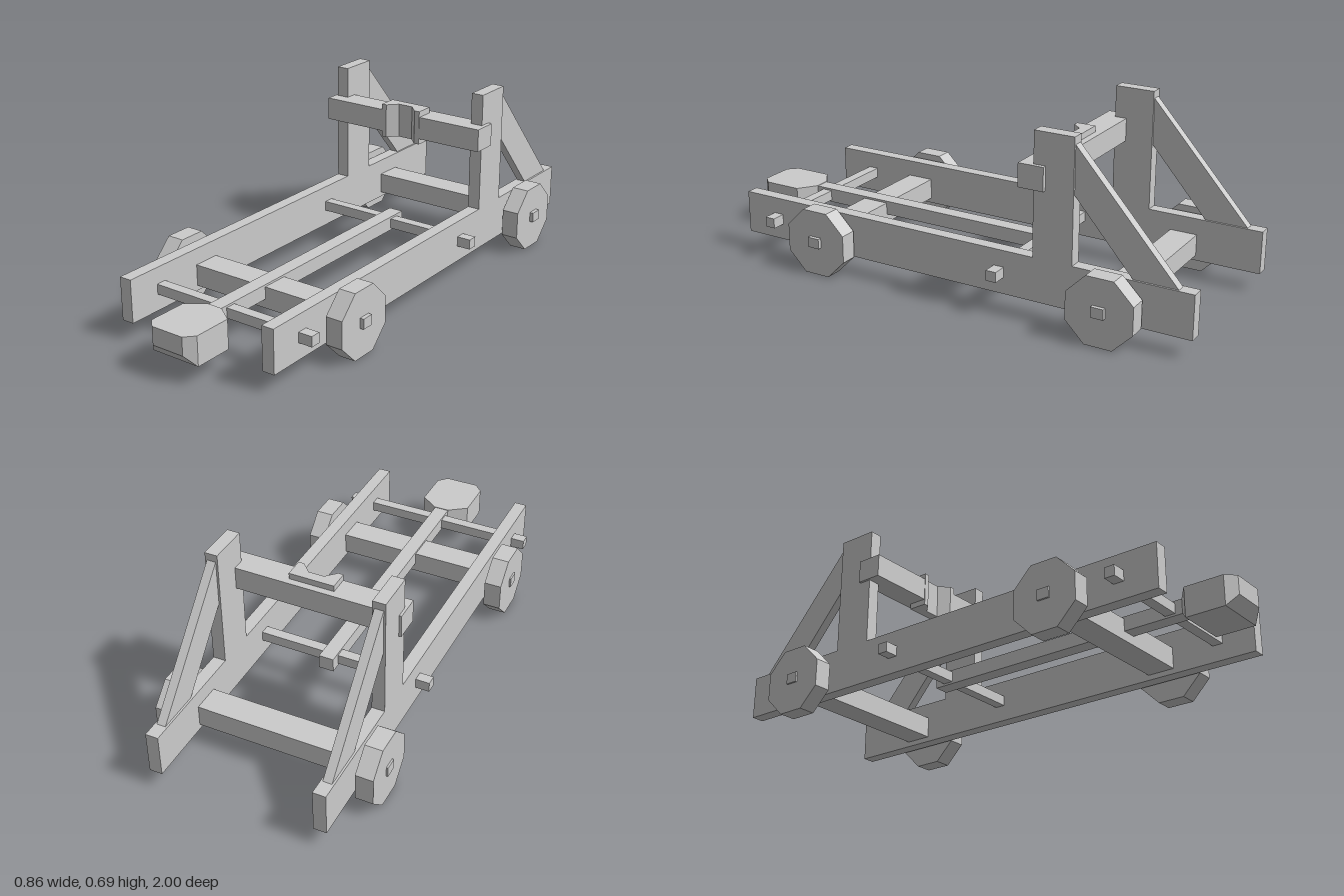
import * as THREE from 'three';
import { ConvexGeometry } from 'three/addons/geometries/ConvexGeometry.js';

const material = new THREE.MeshStandardMaterial({ color: 0xcccccc, flatShading: true });

export function createModel() {
  const model = new THREE.Group();
  model.name = 'catapult';

  const add = (name, geometry) => {
    const mesh = new THREE.Mesh(geometry, material);
    mesh.name = name;
    model.add(mesh);
    return mesh;
  };
  // Box given by its extents on each axis
  const box = (name, x0, x1, y0, y1, z0, z1) =>
    add(name, new THREE.BoxGeometry(x1 - x0, y1 - y0, z1 - z0))
      .position.set((x0 + x1) / 2, (y0 + y1) / 2, (z0 + z1) / 2);
  const extrude = (points, depth) => new THREE.ExtrudeGeometry(
    new THREE.Shape(points.map(([a, b]) => new THREE.Vector2(a, b))),
    { depth, bevelEnabled: false });
  // Side profile of [z, y] points, extruded across x
  const sidePlate = (name, points, x, width) =>
    add(name, extrude(points, width).rotateY(-Math.PI / 2).translate(x + width / 2, 0, 0));
  // Plan profile of [x, z] points, extruded up from y0 to y1
  const planBlock = (name, points, y0, y1) =>
    add(name, extrude(points, y1 - y0).rotateX(Math.PI / 2).translate(0, y1, 0));

  // Rail and upright in one piece, with a diagonal brace behind
  const frame = [[-1, 0.07], [0.865, 0.07], [0.865, 0.235], [-0.4, 0.235], [-0.4, 0.695],
    [-0.553, 0.695], [-0.553, 0.235], [-1, 0.235]];
  const brace = [[-0.945, 0.23], [-0.78, 0.23], [-0.55, 0.492], [-0.55, 0.67]];
  const wheelY = 0.127;
  const axleZ = [0.479, -0.696];

  for (const [side, s] of [['left', 1], ['right', -1]]) {
    const x = s * 0.314 - 0.003;
    sidePlate(side + 'Frame', frame, x, 0.049);
    sidePlate(side + 'Brace', brace, x, 0.034);
    // Octagonal wheels
    axleZ.forEach((z, i) => {
      const wheel = new THREE.CylinderGeometry(0.1365, 0.1365, 0.067, 8, 1, false, Math.PI / 8);
      add(side + (i ? 'RearWheel' : 'FrontWheel'), wheel.rotateZ(Math.PI / 2))
        .position.set(s * 0.3865 - 0.005, wheelY, z);
    });
  }

  // Axles with thick beams between the rails
  axleZ.forEach((z, i) => {
    const end = i ? 'rear' : 'front';
    box(end + 'Axle', -0.432, 0.43, 0.113, 0.152, z - 0.024, z + 0.024);
    box(end + 'AxleBeam', -0.3, 0.295, 0.09, 0.172, z - 0.053, z + 0.053);
  });

  // Thin cross rods
  [['frontRod', 0.717], ['rearRod', -0.266]].forEach(([name, z]) =>
    box(name, -0.395, 0.39, 0.133, 0.172, z - 0.02, z + 0.02));

  // Crossbar and its stop pad share one notch at the front
  const notched = (halfWidth, back, front) => [
    [-halfWidth, back], [halfWidth, back], [halfWidth, front], [0.065, front],
    [0.029, -0.383], [-0.031, -0.383], [-0.067, front], [-halfWidth, front]];
  planBlock('crossbar', notched(0.351, -0.446, -0.348), 0.487, 0.575);
  planBlock('stopPad', notched(0.087, -0.42, -0.346), 0.465, 0.598);

  // Throwing arm
  box('throwingArm', -0.03, 0.028, 0.125, 0.18, -0.325, 0.78);

  // Head of the arm, tapered at both ends: [z, half width, bottom]
  const corners = [];
  for (const [z, w, bottom] of [[0.765, 0.03, 0.125], [0.815, 0.1, 0.07],
    [0.965, 0.1, 0.07], [1, 0.066, 0.113]]) {
    for (const s of [-1, 1]) {
      corners.push(new THREE.Vector3(s * w, bottom, z), new THREE.Vector3(s * w, 0.182, z));
    }
  }
  add('armHead', new ConvexGeometry(corners));

  return model;
}
